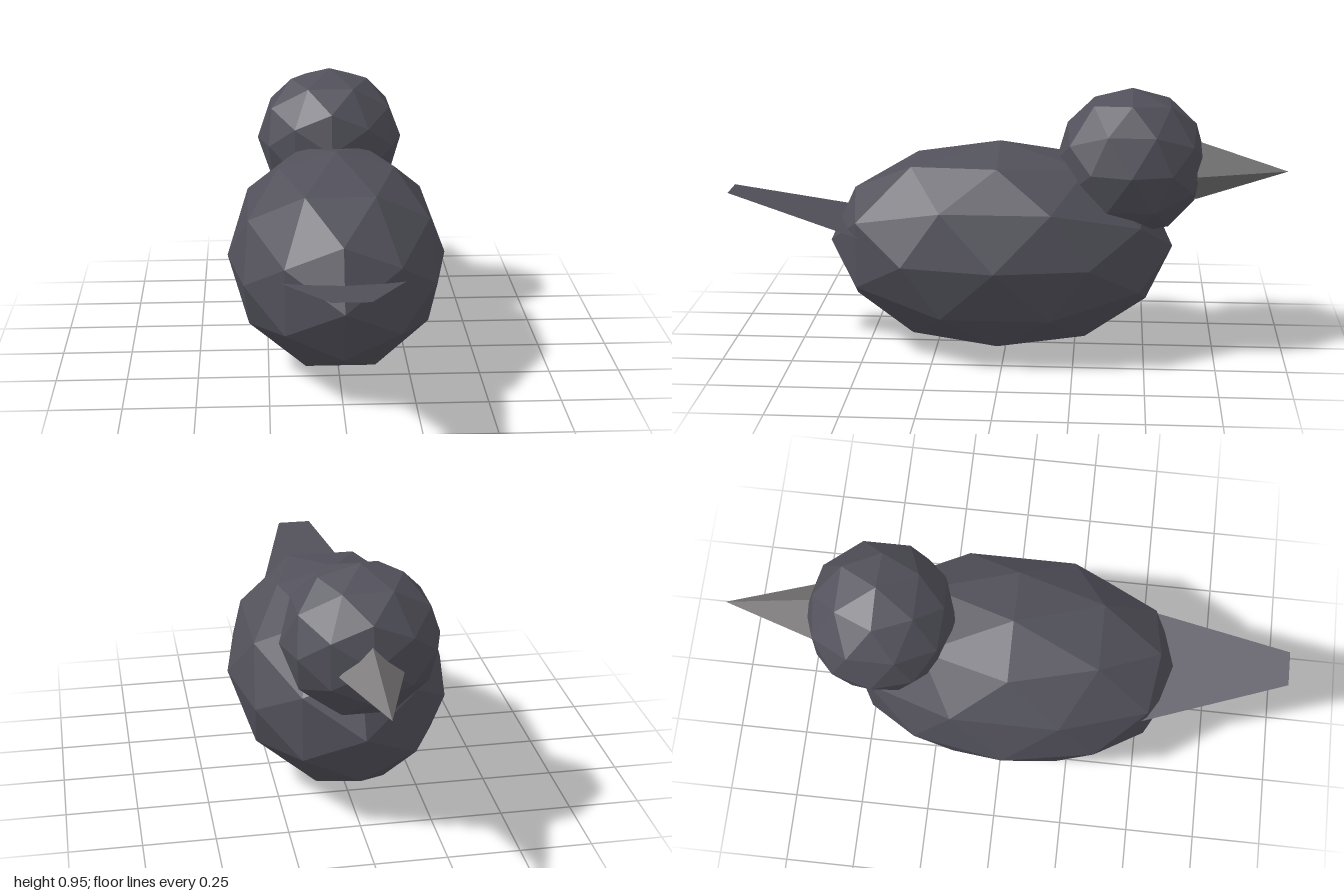
import * as THREE from 'three';

export function createModel() {
  const bird = new THREE.Group();
  bird.name = 'bird';

  const plumage = new THREE.MeshStandardMaterial({ color: 0x52515b, flatShading: true });
  plumage.name = 'slate plumage';
  const tailPlumage = plumage.clone();
  tailPlumage.name = 'slate tail plumage';
  tailPlumage.side = THREE.DoubleSide;
  const horn = new THREE.MeshStandardMaterial({ color: 0x777576, flatShading: true });
  horn.name = 'grey beak';

  function add(name, geometry, material) {
    const mesh = new THREE.Mesh(geometry, material);
    mesh.name = name;
    bird.add(mesh);
    return mesh;
  }

  // Faceted ellipsoid with given radii and centre
  function blob(name, radii, centre) {
    const geometry = new THREE.IcosahedronGeometry(1, 1);
    geometry.scale(...radii);
    geometry.translate(...centre);
    return add(name, geometry, plumage);
  }

  // Body and head; the bird looks towards -z
  blob('body', [0.392, 0.38, 0.618], [0, 0.38, 0.02]);
  blob('head', [0.272, 0.265, 0.267], [-0.005, 0.69, -0.445]);

  // Four-sided beak with a ridge along the top
  const beak = new THREE.ConeGeometry(0.107, 0.325, 4);
  beak.rotateX(-Math.PI / 2);
  beak.translate(0, 0.662, -0.8375);
  add('beak', beak, horn);

  // Flat tail, narrowing and rising towards the rear
  const tail = new THREE.BufferGeometry();
  tail.setAttribute('position', new THREE.Float32BufferAttribute([
    -0.212, 0.445, 0.5,
    0.212, 0.445, 0.5,
    0.062, 0.565, 1,
    -0.062, 0.565, 1,
  ], 3));
  tail.setIndex([0, 2, 1, 0, 3, 2]);
  tail.computeVertexNormals();
  add('tail', tail, tailPlumage);

  return bird;
}
